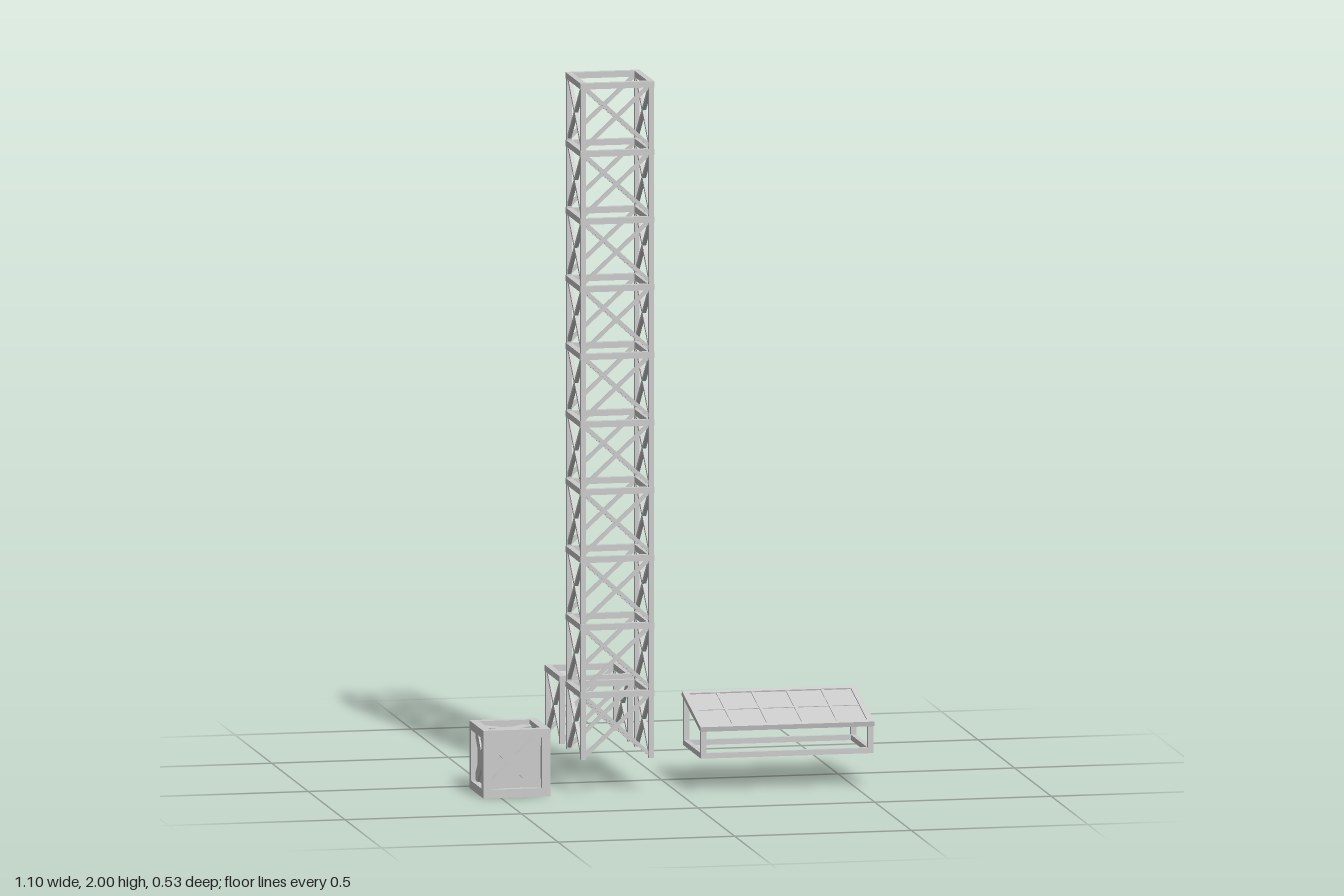
import * as THREE from 'three';

const material = new THREE.MeshStandardMaterial({ color: 0xcccccc, flatShading: true });

function box(parent, name, size, pos) {
  const mesh = new THREE.Mesh(new THREE.BoxGeometry(...size), material);
  mesh.name = name;
  mesh.position.set(...pos);
  parent.add(mesh);
  return mesh;
}

function group(parent, name, x = 0, y = 0, z = 0) {
  const g = new THREE.Group();
  g.name = name;
  g.position.set(x, y, z);
  parent.add(g);
  return g;
}

// One lattice module: posts, top rails and crossed braces on four sides
const MODULE = 0.19;
function latticeModule(parent, name, x, y, z) {
  const g = group(parent, name, x, y, z);
  const r = 0.096, top = MODULE - 0.008, foot = 0.006;
  const braceLength = Math.hypot(2 * r, top - foot);
  const braceAngle = Math.atan2(top - foot, 2 * r);
  for (let i = 0; i < 4; i++) {
    const side = group(g, 'latticeSide');
    side.rotation.y = i * Math.PI / 2;
    box(side, 'post', [0.014, MODULE, 0.014], [r, MODULE / 2, r]);
    box(side, 'topRail', [2 * r + 0.017, 0.017, 0.017], [0, top, r]);
    for (const s of [-1, 1]) {
      const brace = box(side, 'brace', [braceLength, 0.01, 0.01], [0, (top + foot) / 2, r]);
      brace.rotation.z = s * braceAngle;
    }
  }
}

// Crate: edge beams, recessed panels and a cross on every face
function crate(parent) {
  const S = 0.19, W = 0.024, h = S / 2, e = h - W / 2;
  const g = group(parent, 'crate', -0.455, h, 0.124);
  box(g, 'cratePanels', [S - 0.036, S - 0.036, S - 0.036], [0, 0, 0]);
  for (const a of [-e, e]) for (const b of [-e, e]) {
    box(g, 'crateEdge', [S, W, W], [0, a, b]);
    box(g, 'crateEdge', [W, S, W], [a, 0, b]);
    box(g, 'crateEdge', [W, W, S], [a, b, 0]);
  }
  const turns = [[0, 0], [0, 1], [0, 2], [0, 3], [1, 0], [-1, 0]];
  for (const [rx, ry] of turns) {
    const face = group(g, 'crateFace');
    face.rotation.set(rx * Math.PI / 2, ry * Math.PI / 2, 0);
    for (const s of [-1, 1]) {
      const plank = box(face, 'crossPlank', [0.22, 0.034, 0.008], [0, 0, h - 0.017]);
      plank.rotation.z = s * Math.PI / 4;
    }
  }
}

// Tilted panel divided into 5 x 2 cells, on an open base frame
function panelTable(parent) {
  const g = group(parent, 'panelTable', 0.303, 0, 0.132);
  const W = 0.493, depth = 0.255, rise = 0.062, t = 0.015;
  const L = Math.hypot(depth, rise);
  const lx = W / 2 - 0.01, lz = depth / 2 - 0.011;

  const panel = group(g, 'tiltedPanel', 0, 0.211, 0);
  panel.rotation.x = Math.atan2(rise, depth);
  box(panel, 'panelSheet', [W - 0.01, 0.006, L - 0.01], [0, 0, 0]);
  for (const s of [-1, 1]) {
    box(panel, 'longEdge', [W, 0.014, 0.018], [0, 0, s * (L / 2 - 0.009)]);
    box(panel, 'shortEdge', [0.018, 0.014, L], [s * (W / 2 - 0.009), 0, 0]);
  }
  box(panel, 'middleDivider', [W - 0.02, 0.006, 0.008], [0, 0.002, 0]);
  for (let i = 1; i < 5; i++) {
    box(panel, 'crossDivider', [0.01, 0.007, L - 0.02], [(i / 5 - 0.5) * W, 0.002, 0]);
  }

  for (const s of [-1, 1]) {
    box(g, 'baseRail', [2 * lx + t, t, t], [0, 0.105, s * lz]);
    box(g, 'baseSideRail', [t, t, 2 * lz], [s * lx, 0.105, 0]);
    for (const f of [-1, 1]) {
      const top = 0.211 - f * rise * 0.46;
      box(g, 'leg', [t, top - 0.1, t], [s * lx, (top + 0.1) / 2, f * lz]);
    }
  }
}

export function createModel() {
  const model = new THREE.Group();
  model.name = 'buildingKit';

  // Tall tower of stacked modules, with a single module behind it
  const tower = group(model, 'latticeTower');
  for (let i = 0; i < 10; i++) latticeModule(tower, 'towerModule', -0.172, 0.1 + i * MODULE, 0.125);
  latticeModule(model, 'singleModule', -0.172, 0.1, -0.161);

  crate(model);
  panelTable(model);
  return model;
}
